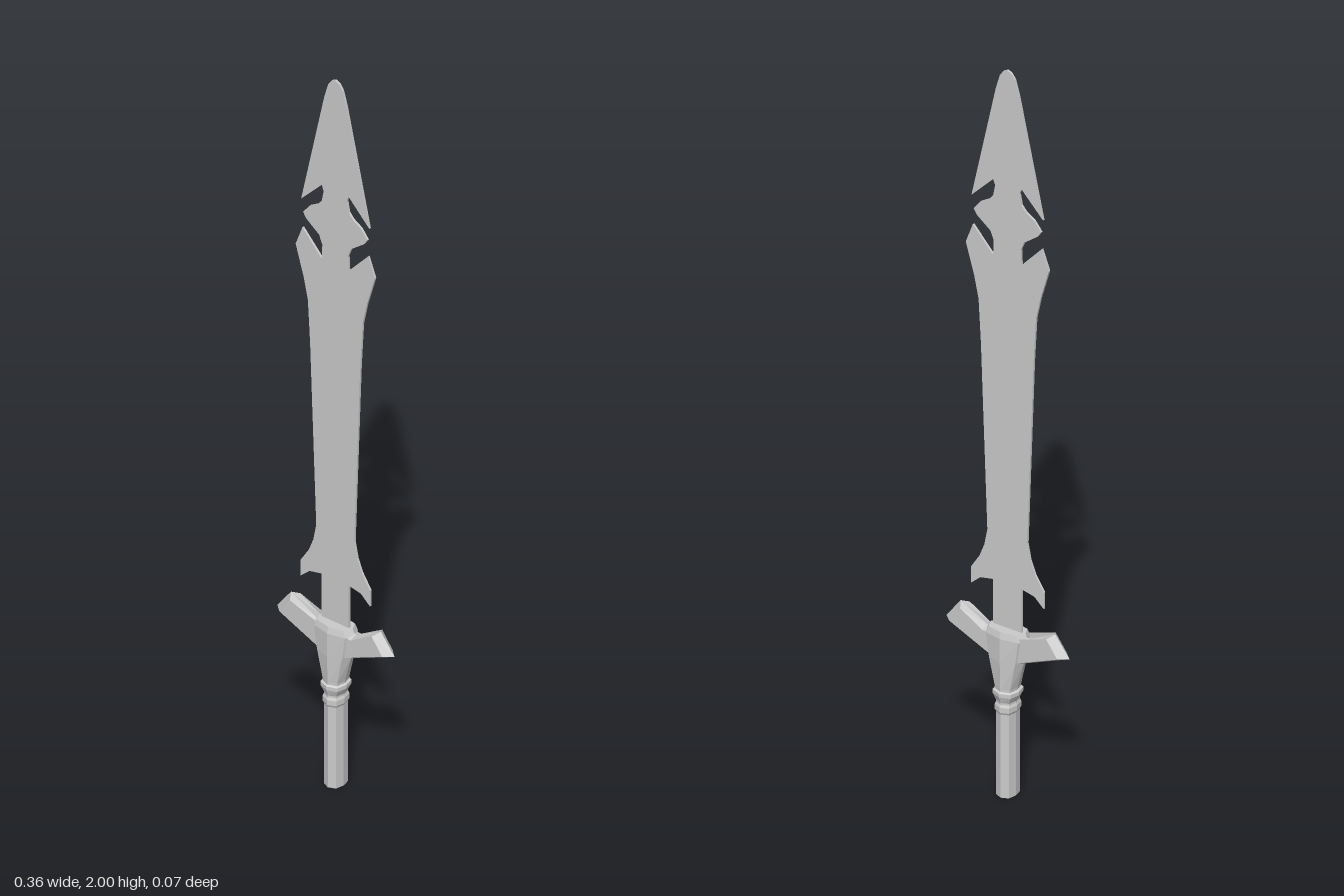
import * as THREE from 'three';

const material = new THREE.MeshStandardMaterial({ color: 0xcccccc, flatShading: true, side: THREE.DoubleSide });

function named(geometry, name) {
  const mesh = new THREE.Mesh(geometry, material);
  mesh.name = name;
  return mesh;
}

// Joins rings of equal point count with quads and caps both ends.
function loft(rings) {
  const pos = [];
  const tri = (a, b, c) => pos.push(...a, ...b, ...c);
  const n = rings[0].length;
  for (let r = 0; r + 1 < rings.length; r++) {
    for (let i = 0; i < n; i++) {
      const j = (i + 1) % n, lo = rings[r], hi = rings[r + 1];
      tri(lo[i], lo[j], hi[j]);
      tri(lo[i], hi[j], hi[i]);
    }
  }
  const last = rings[rings.length - 1];
  for (let i = 1; i + 1 < n; i++) {
    tri(rings[0][0], rings[0][i + 1], rings[0][i]);
    tri(last[0], last[i], last[i + 1]);
  }
  const geometry = new THREE.BufferGeometry();
  geometry.setAttribute('position', new THREE.Float32BufferAttribute(pos, 3));
  geometry.computeVertexNormals();
  return geometry;
}

// Eight-sided section at height y, half width w and half depth d, ridged at front and back.
function section([y, w, d]) {
  return [[0, d], [0.8, 0.73 * d], [1, 0], [0.8, -0.73 * d], [0, -d], [-0.8, -0.73 * d], [-1, 0], [-0.8, 0.73 * d]]
    .map(([x, z]) => [x * w, y, z]);
}

export function createModel() {
  const sword = new THREE.Group();
  sword.name = 'sword';

  // Thin barbed blade, mirrored from one edge
  const edge = [
    [0.012, 1.994], [0.022, 1.98], [0.034, 1.94], [0.106, 1.62], [0.042, 1.685], [0.036, 1.67],
    [0.042, 1.64], [0.055, 1.625], [0.08, 1.61], [0.1, 1.585], [0.09, 1.57], [0.05, 1.54],
    [0.04, 1.515], [0.042, 1.475], [0.102, 1.54], [0.123, 1.485],
    [0.098, 1.4], [0.085, 1.34], [0.078, 1.22], [0.059, 0.71], [0.068, 0.665], [0.082, 0.63],
    [0.108, 0.59], [0.108, 0.545], [0.08, 0.57], [0.042, 0.578], [0.042, 0.42],
  ];
  const outline = [[0, 2], ...edge, ...edge.map(([x, y]) => [-x, y]).reverse()];
  const bladeShape = new THREE.Shape(outline.map(([x, y]) => new THREE.Vector2(x, y)));
  const blade = new THREE.ExtrudeGeometry(bladeShape, { depth: 0.006, bevelEnabled: false });
  blade.translate(0, 0, -0.003);
  sword.add(named(blade, 'blade'));

  // Guard body, flaring up from the collar
  const body = [[0.27, 0.024, 0.031], [0.3, 0.028, 0.032], [0.375, 0.048, 0.034], [0.44, 0.06, 0.034], [0.457, 0.052, 0.03]];
  sword.add(named(loft(body.map(section)), 'guardBody'));

  // Guard wings: raised arms with ridged edges and slanted ends
  const ridge = [[0.02, 0.365], [0.048, 0.373], [0.182, 0.43], [0.14, 0.485], [0.062, 0.445], [0.02, 0.45]];
  const face = [[0.02, 0.375], [0.048, 0.383], [0.16, 0.431], [0.127, 0.476], [0.062, 0.438], [0.02, 0.44]];
  for (const side of [1, -1]) {
    const ring = (points, z) => {
      const r = points.map(([x, y]) => [side * x, y, z]);
      return side > 0 ? r : r.reverse();
    };
    const wing = loft([ring(face, -0.02), ring(ridge, 0), ring(face, 0.02)]);
    sword.add(named(wing, side > 0 ? 'leftGuardWing' : 'rightGuardWing'));
  }

  // Grip, with a neck ring and a flared collar under the guard
  const grip = [[0, 0.024, 0.031], [0.23, 0.024, 0.031], [0.236, 0.027, 0.034], [0.25, 0.027, 0.034], [0.257, 0.024, 0.031], [0.27, 0.024, 0.031]];
  const collar = [[0.262, 0.024, 0.031], [0.28, 0.033, 0.037], [0.29, 0.033, 0.037], [0.293, 0.027, 0.032]];
  // These sections run front to right, which winds outward as height increases
  sword.add(named(loft(grip.map(section)), 'grip'));
  sword.add(named(loft(collar.map(section)), 'collar'));

  return sword;
}
